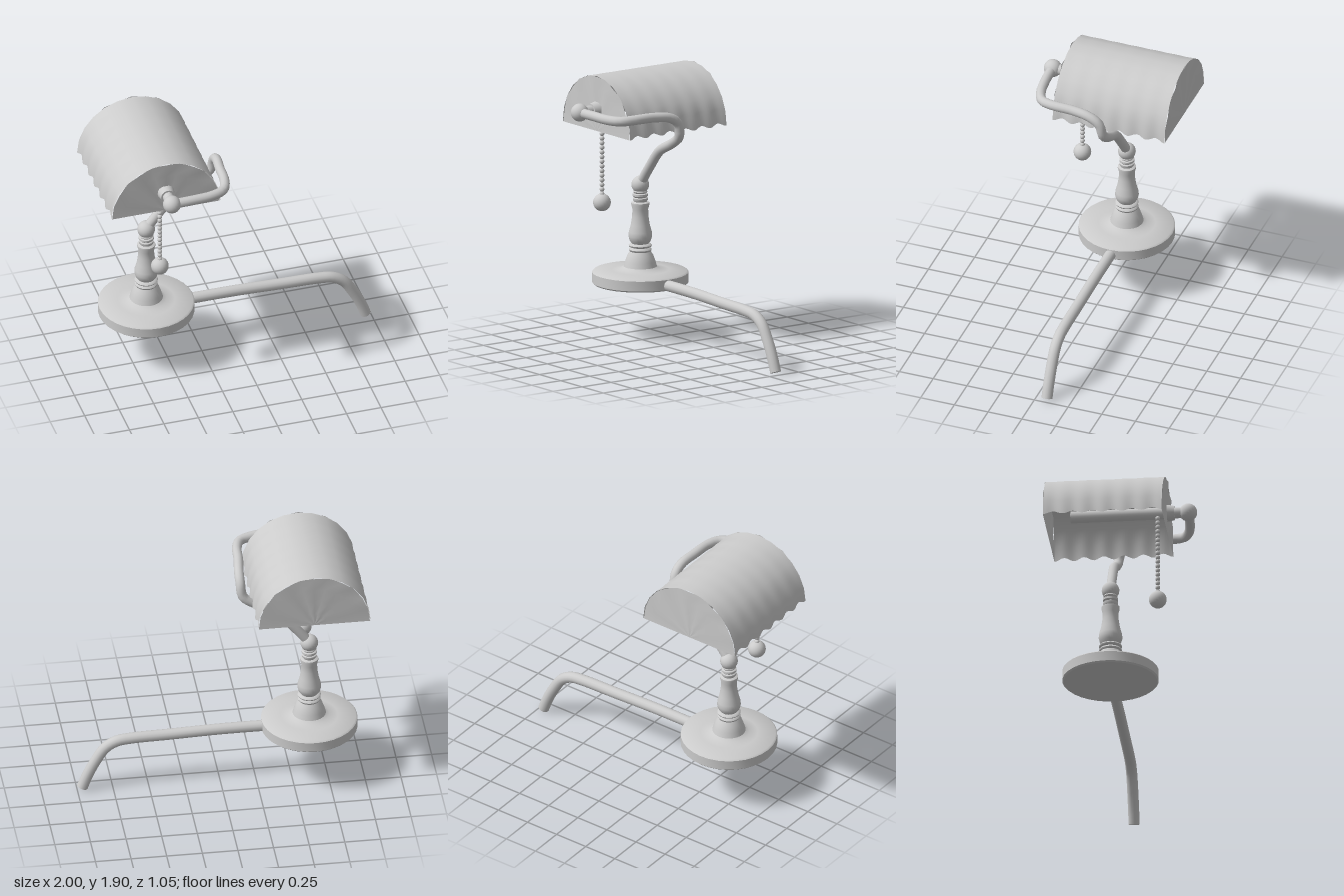
import * as THREE from 'three';
import { toCreasedNormals } from 'three/addons/utils/BufferGeometryUtils.js';

const material = new THREE.MeshStandardMaterial({ color: 0xcccccc });
const thin = new THREE.MeshStandardMaterial({ color: 0xcccccc, side: THREE.DoubleSide });

const STAND_X = -0.63, STAND_Z = -0.08;           // axis of base and stem
const SHADE = { x: -0.605, y: 1.51, r: 0.39, front: 0.315, back: -0.515 };

function add(parent, name, geometry, mat = material) {
  const mesh = new THREE.Mesh(geometry, mat);
  mesh.name = name;
  parent.add(mesh);
  return mesh;
}

function ball(parent, name, r, x, y, z) {
  return add(parent, name, new THREE.SphereGeometry(r, 20, 14).translate(x, y, z));
}

function lathe(parent, name, profile) {
  const points = profile.map(([r, y]) => new THREE.Vector2(r, y));
  const geometry = toCreasedNormals(new THREE.LatheGeometry(points, 32), 0.7);
  return add(parent, name, geometry.translate(STAND_X, 0, STAND_Z));
}

// Round rod along a smooth path, closed with a disc at the far end
function rod(parent, name, points, r) {
  const curve = new THREE.CatmullRomCurve3(points.map(p => new THREE.Vector3(...p)));
  const group = new THREE.Group();
  group.name = name;
  add(group, name + 'Tube', new THREE.TubeGeometry(curve, 48, r, 14));
  const end = add(group, name + 'End', new THREE.CircleGeometry(r, 14), thin);
  end.position.copy(curve.getPoint(1));
  end.quaternion.setFromUnitVectors(new THREE.Vector3(0, 0, 1), curve.getTangent(1));
  parent.add(group);
}

// Sheet whose (u, v) grid is placed by a rule
function sheet(nu, nv, rule) {
  const geometry = new THREE.PlaneGeometry(1, 1, nu, nv);
  const pos = geometry.attributes.position;
  for (let i = 0; i < pos.count; i++) pos.setXYZ(i, ...rule(pos.getX(i) + 0.5, pos.getY(i) + 0.5));
  geometry.computeVertexNormals();
  return geometry;
}

function buildShade() {
  const shade = new THREE.Group();
  shade.name = 'shade';
  // Half-round hood, rippled towards its two lower edges
  add(shade, 'shadeHood', sheet(12, 48, (u, v) => {
    const a = Math.PI * (1 - u), side = Math.abs(Math.cos(a)) ** 2;
    const wave = Math.cos(v * Math.PI * 12) * side;
    const r = SHADE.r + 0.006 * wave;
    return [
      SHADE.x + r * Math.cos(a),
      SHADE.y + r * Math.sin(a) + 0.011 * (side - wave) * side,
      THREE.MathUtils.lerp(SHADE.front, SHADE.back, v),
    ];
  }), thin);
  // Fluted end walls
  for (const [name, z, dir] of [['shadeFront', SHADE.front, 1], ['shadeBack', SHADE.back, -1]]) {
    add(shade, name, sheet(12, 4, (u, v) => {
      const a = Math.PI * (dir > 0 ? 1 - u : u);
      const flute = Math.cos(u * Math.PI * 12) * Math.sin(a);
      return [
        SHADE.x + SHADE.r * v * Math.cos(a),
        SHADE.y + SHADE.r * v * Math.sin(a),
        z + dir * 0.009 * v * flute,
      ];
    }), thin);
  }
  return shade;
}

export function createModel() {
  const lamp = new THREE.Group();
  lamp.name = 'deskLamp';

  // Round foot with a flared collar
  lathe(lamp, 'base', [
    [0, 0.375], [0.325, 0.375], [0.336, 0.385], [0.336, 0.455], [0.325, 0.465], [0.2, 0.472],
    [0.14, 0.48], [0.116, 0.495], [0.106, 0.53], [0.09, 0.575], [0.07, 0.605], [0, 0.605],
  ]);

  // Turned stem with rings
  lathe(lamp, 'stem', [
    [0.06, 0.595], [0.075, 0.603], [0.08, 0.615], [0.072, 0.627], [0.065, 0.63],
    [0.077, 0.636], [0.081, 0.645], [0.074, 0.654], [0.06, 0.658], [0.075, 0.68],
    [0.083, 0.71], [0.08, 0.74], [0.066, 0.79], [0.057, 0.85], [0.055, 0.9],
    [0.064, 0.935], [0.063, 0.947], [0.045, 0.955], [0.052, 0.965], [0.052, 0.98],
    [0.043, 0.985], [0.053, 0.995], [0.053, 1.01], [0.042, 1.015], [0.05, 1.025], [0.04, 1.05],
  ]);
  ball(lamp, 'stemJoint', 0.062, STAND_X, 1.075, STAND_Z);

  // Arm rising beside the shade and wrapping round to its front
  rod(lamp, 'arm', [
    [STAND_X, 1.08, STAND_Z], [-0.52, 1.22, -0.08], [-0.40, 1.355, -0.08], [-0.25, 1.435, -0.08],
    [-0.165, 1.5, -0.075], [-0.15, 1.6, -0.05], [-0.15, 1.645, 0.02], [-0.165, 1.66, 0.15],
    [-0.175, 1.66, 0.3], [-0.21, 1.655, 0.39], [-0.3, 1.655, 0.435], [-0.45, 1.66, 0.455],
    [SHADE.x, 1.66, 0.46],
  ], 0.034);
  ball(lamp, 'shadeJoint', 0.063, SHADE.x, 1.66, 0.46);

  // Socket through the front wall and long bulb under the hood
  const alongZ = (r1, r2, z1, z2) => new THREE.CylinderGeometry(r1, r2, z1 - z2, 20)
    .rotateX(Math.PI / 2).translate(SHADE.x, 1.66, (z1 + z2) / 2);
  add(lamp, 'socketNeck', alongZ(0.038, 0.038, 0.46, 0.34));
  add(lamp, 'socketCap', alongZ(0.05, 0.062, 0.365, 0.305));
  add(lamp, 'bulb', alongZ(0.042, 0.042, 0.31, -0.36));

  lamp.add(buildShade());

  // Pull chain
  const chain = new THREE.Group();
  chain.name = 'pullChain';
  for (let y = 1.05; y < 1.64; y += 0.033) {
    add(chain, 'bead', new THREE.SphereGeometry(0.0175, 10, 8).translate(STAND_X, y, 0.25));
  }
  ball(chain, 'pullKnob', 0.062, STAND_X, 0.99, 0.25);
  lamp.add(chain);

  // Cord leaving the foot and bending down
  rod(lamp, 'cord', [
    [-0.35, 0.412, STAND_Z], [0, 0.411, STAND_Z], [0.35, 0.4, STAND_Z], [0.62, 0.392, STAND_Z],
    [0.72, 0.378, STAND_Z], [0.8, 0.33, STAND_Z], [0.87, 0.225, STAND_Z], [0.925, 0.115, STAND_Z],
    [0.962, 0.018, STAND_Z],
  ], 0.039);

  return lamp;
}
